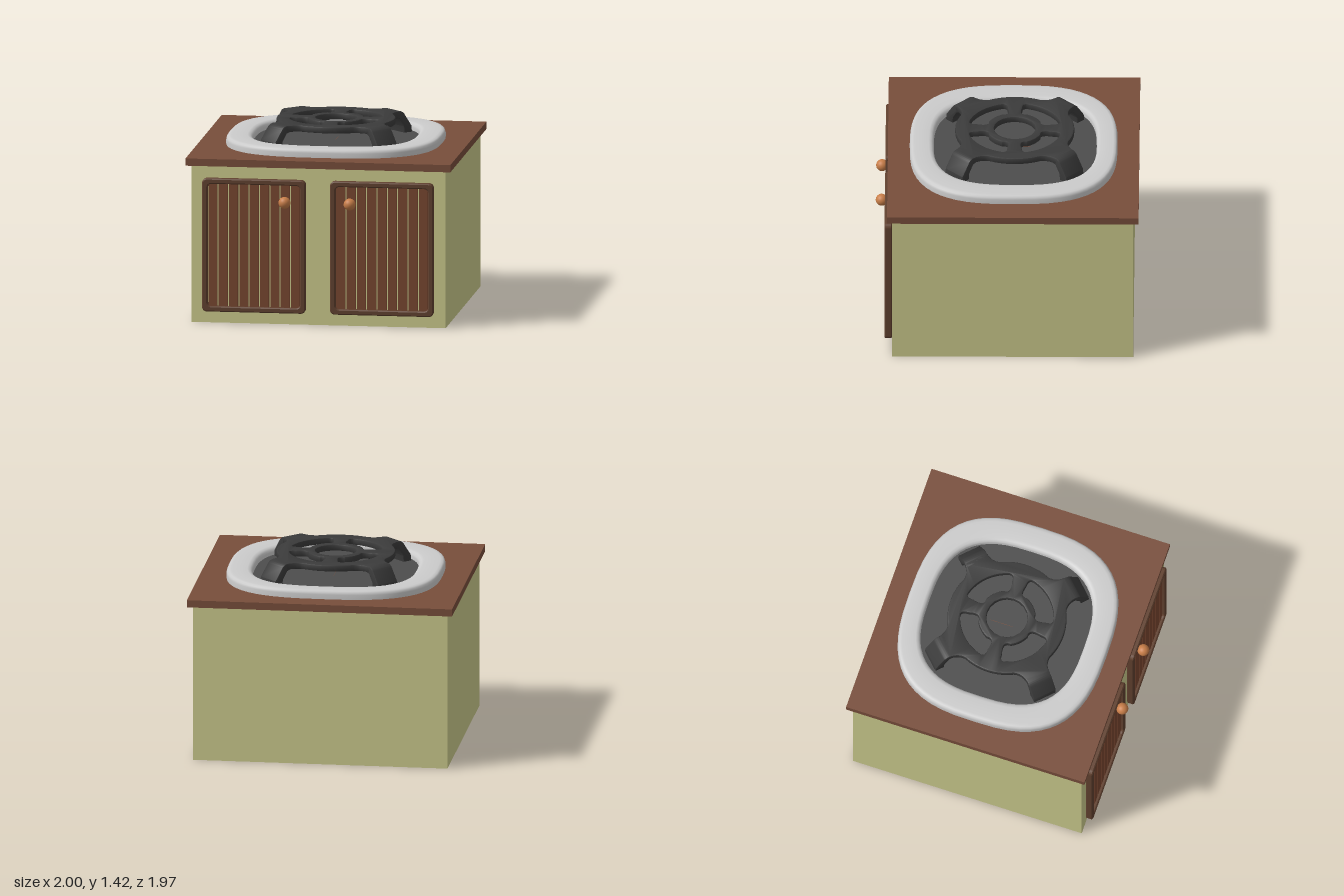
import * as THREE from 'three';
import { toCreasedNormals } from 'three/addons/utils/BufferGeometryUtils.js';

const mat = (color, side = THREE.FrontSide) => new THREE.MeshStandardMaterial({ color, side });
const cream = mat(0xcbca8c), wood = mat(0x784e3b), frameWood = mat(0x61412f), slatWood = mat(0x78462f);
const copper = mat(0xc77d48), steel = mat(0xcccccc, THREE.DoubleSide), pan = mat(0x4d4d4d, THREE.DoubleSide), iron = mat(0x3b3b3b);

function add(parent, name, geometry, material, x = 0, y = 0, z = 0) {
  const mesh = new THREE.Mesh(geometry, material);
  mesh.name = name;
  mesh.position.set(x, y, z);
  parent.add(mesh);
  return mesh;
}

// Rounded rectangle centred on the origin
function roundedRect(target, w, h, r) {
  const x = w / 2, y = h / 2;
  target.absarc(x - r, y - r, r, 0, Math.PI / 2);
  target.absarc(r - x, y - r, r, Math.PI / 2, Math.PI);
  target.absarc(r - x, r - y, r, Math.PI, Math.PI * 1.5);
  target.absarc(x - r, r - y, r, Math.PI * 1.5, Math.PI * 2);
  target.closePath();
  return target;
}

// Extrusion whose bevel stays inside the given outline and depth
function bevelExtrude(shape, depth, bevel, segments = 2) {
  const g = new THREE.ExtrudeGeometry(shape, {
    depth: depth - 2 * bevel, bevelEnabled: true, bevelSize: bevel, bevelThickness: bevel,
    bevelOffset: -bevel, bevelSegments: segments, curveSegments: 10,
  });
  g.translate(0, 0, bevel);
  return toCreasedNormals(g, 0.6);
}

// Cabinet door: frame, nine slats with gaps, round knob
function createDoor(name, knobX) {
  const door = new THREE.Group();
  door.name = name;
  const w = 0.78, h = 1.01;
  const frame = roundedRect(new THREE.Shape(), w, h, 0.035);
  frame.holes.push(roundedRect(new THREE.Path(), w - 0.08, h - 0.08, 0.03));
  add(door, 'doorFrame', bevelExtrude(frame, 0.055, 0.008, 1), frameWood);
  const slat = new THREE.BoxGeometry(0.066, h - 0.06, 0.032);
  for (let i = -4; i <= 4; i++) add(door, 'doorSlat', slat, slatWood, i * 0.078, 0, 0.016);
  add(door, 'doorKnob', new THREE.SphereGeometry(0.045, 24, 16), copper, knobX, 0.34, 0.08);
  return door;
}

// Rounded-square loops lofted between an outer (s = 0) and inner (s = 1) outline
function loft(profile, segments = 56) {
  const pos = [], idx = [];
  const power = (v) => Math.sign(v) * Math.abs(v) ** (2 / 2.8);
  profile.forEach(([s, y], j) => {
    const a = THREE.MathUtils.lerp(0.805, 0.61, s), b = THREE.MathUtils.lerp(0.777, 0.61, s);
    const cz = THREE.MathUtils.lerp(-0.045, -0.057, s);
    for (let i = 0; i < segments; i++) {
      const t = (i / segments) * Math.PI * 2, n = (i + 1) % segments;
      pos.push(a * power(Math.cos(t)), y, cz + b * power(Math.sin(t)));
      if (j === profile.length - 1) continue;
      const p = j * segments + i, q = j * segments + n;
      idx.push(p, p + segments, q, q, p + segments, q + segments);
    }
  });
  const g = new THREE.BufferGeometry();
  g.setAttribute('position', new THREE.Float32BufferAttribute(pos, 3));
  g.setIndex(idx);
  g.computeVertexNormals();
  return g;
}

const deg = Math.PI / 180;
const polar = (r, a) => [r * Math.cos(a * deg), r * Math.sin(a * deg)];

// Flat grate plate: disc flaring into four arms, with a centre hole and four slots
function gratePlate() {
  const shape = new THREE.Shape();
  const R = 0.445, end = 0.53, half = 0.092;
  for (let k = 0; k < 4; k++) {
    const a = 45 + 90 * k;
    const at = (u, v) => [u * Math.cos(a * deg) - v * Math.sin(a * deg), u * Math.sin(a * deg) + v * Math.cos(a * deg)];
    if (k === 0) shape.moveTo(...polar(R, a - 20));
    shape.quadraticCurveTo(...at(0.45, -half - 0.005), ...at(end, -half));
    shape.lineTo(...at(end, half));
    shape.quadraticCurveTo(...at(0.45, half + 0.005), ...polar(R, a + 20));
    shape.absarc(0, 0, R, (a + 20) * deg, (a + 70) * deg);
  }
  shape.holes.push(new THREE.Path().absarc(0, 0, 0.155, 0, Math.PI * 2));
  for (let k = 0; k < 4; k++) {
    const a = 90 * k, slot = new THREE.Path();
    slot.absarc(0, 0, 0.35, (a + 17) * deg, (a + 73) * deg);
    slot.quadraticCurveTo(...polar(0.355, a + 81), ...polar(0.29, a + 79));
    slot.quadraticCurveTo(...polar(0.19, a + 82), ...polar(0.215, a + 64));
    slot.absarc(0, 0, 0.215, (a + 64) * deg, (a + 26) * deg, true);
    slot.quadraticCurveTo(...polar(0.19, a + 8), ...polar(0.29, a + 11));
    slot.quadraticCurveTo(...polar(0.355, a + 9), ...polar(0.35, a + 17));
    shape.holes.push(slot);
  }
  return bevelExtrude(shape, 0.05, 0.01).rotateX(-Math.PI / 2);
}

// Sloping grate leg, drawn in side profile (radius, height)
function grateLeg() {
  const s = new THREE.Shape();
  s.moveTo(0.49, 1.42);
  s.lineTo(0.525, 1.42);
  s.quadraticCurveTo(0.56, 1.415, 0.575, 1.39);
  s.lineTo(0.638, 1.3);
  s.lineTo(0.642, 1.25);
  s.lineTo(0.57, 1.25);
  s.lineTo(0.565, 1.3);
  s.lineTo(0.525, 1.36);
  s.lineTo(0.49, 1.37);
  s.closePath();
  return bevelExtrude(s, 0.184, 0.008).translate(0, 0, -0.092);
}

export function createModel() {
  const model = new THREE.Group();
  model.name = 'stoveCabinet';

  // Cabinet and worktop
  add(model, 'cabinetBody', new THREE.BoxGeometry(1.92, 1.19, 1.805), cream, 0, 0.595, -0.0425);
  add(model, 'worktop', new THREE.BoxGeometry(2, 0.055, 1.88), wood, 0, 1.2175, -0.045);

  // Mirrored pair of doors
  for (const side of [-1, 1]) {
    const door = createDoor(side < 0 ? 'rightDoor' : 'leftDoor', -side * 0.237);
    door.position.set(side * 0.483, 0.595, 0.86);
    model.add(door);
  }

  // Burner surround and pan
  add(model, 'burnerRing', loft([
    [0, 1.24], [0, 1.28], [0.03, 1.297], [0.09, 1.307], [0.2, 1.311], [0.5, 1.311],
    [0.8, 1.31], [0.91, 1.304], [0.98, 1.29], [1, 1.275], [1.005, 1.25],
  ]), steel);
  add(model, 'burnerPan', loft([[0.98, 1.252], [4.12, 1.252]]), pan);

  // Pan support
  const grate = new THREE.Group();
  grate.name = 'grate';
  grate.position.z = -0.053;
  add(grate, 'gratePlate', gratePlate(), iron, 0, 1.37, 0);
  const leg = grateLeg();
  for (let k = 0; k < 4; k++) add(grate, 'grateLeg', leg, iron).rotation.y = (45 + 90 * k) * deg;
  model.add(grate);

  return model;
}
